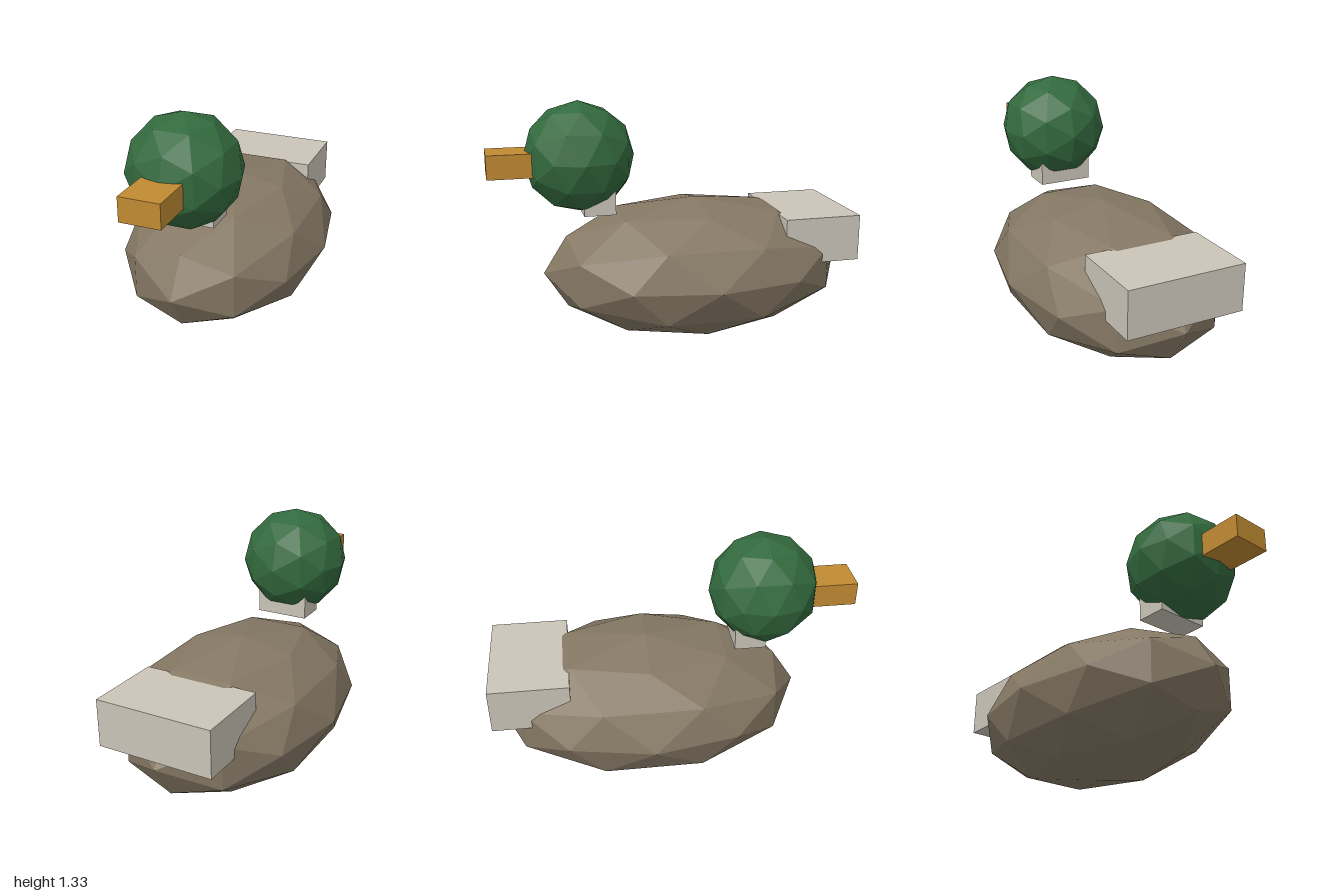
import * as THREE from 'three';

function material(name, color) {
  const m = new THREE.MeshStandardMaterial({ color });
  m.name = name;
  return m;
}

export function createModel() {
  const duck = new THREE.Group();
  duck.name = 'duck';

  const brown = material('featherBrown', 0x857864);
  const green = material('headGreen', 0x336a3e);
  const orange = material('beakOrange', 0xc18a32);
  const grey = material('paleGrey', 0xcac4b8);

  function add(name, geometry, mat, x, y, z) {
    const mesh = new THREE.Mesh(geometry, mat);
    mesh.name = name;
    mesh.position.set(x, y, z);
    duck.add(mesh);
  }

  // Faceted ellipsoid: separate triangles keep flat normals after scaling
  function facetedBall(rx, ry, rz) {
    const g = new THREE.IcosahedronGeometry(1, 1).scale(rx, ry, rz);
    g.computeVertexNormals();
    return g;
  }

  // Body and head
  add('body', facetedBall(0.56, 0.386, 0.86), brown, 0, 0.389, -0.14);
  add('head', facetedBall(0.3, 0.3, 0.3), green, 0, 1.033, 0.508);

  // Beak, its back end sunk into the head
  add('beak', new THREE.BoxGeometry(0.214, 0.128, 0.3), orange, 0, 1.013, 0.85);

  // Neck collar, its top sunk into the head
  add('neckCollar', new THREE.BoxGeometry(0.3, 0.17, 0.17), grey, 0, 0.82, 0.422);

  // Tail block, its front sunk into the back
  add('tail', new THREE.BoxGeometry(0.64, 0.255, 0.43), grey, 0, 0.5625, -0.785);

  return duck;
}
